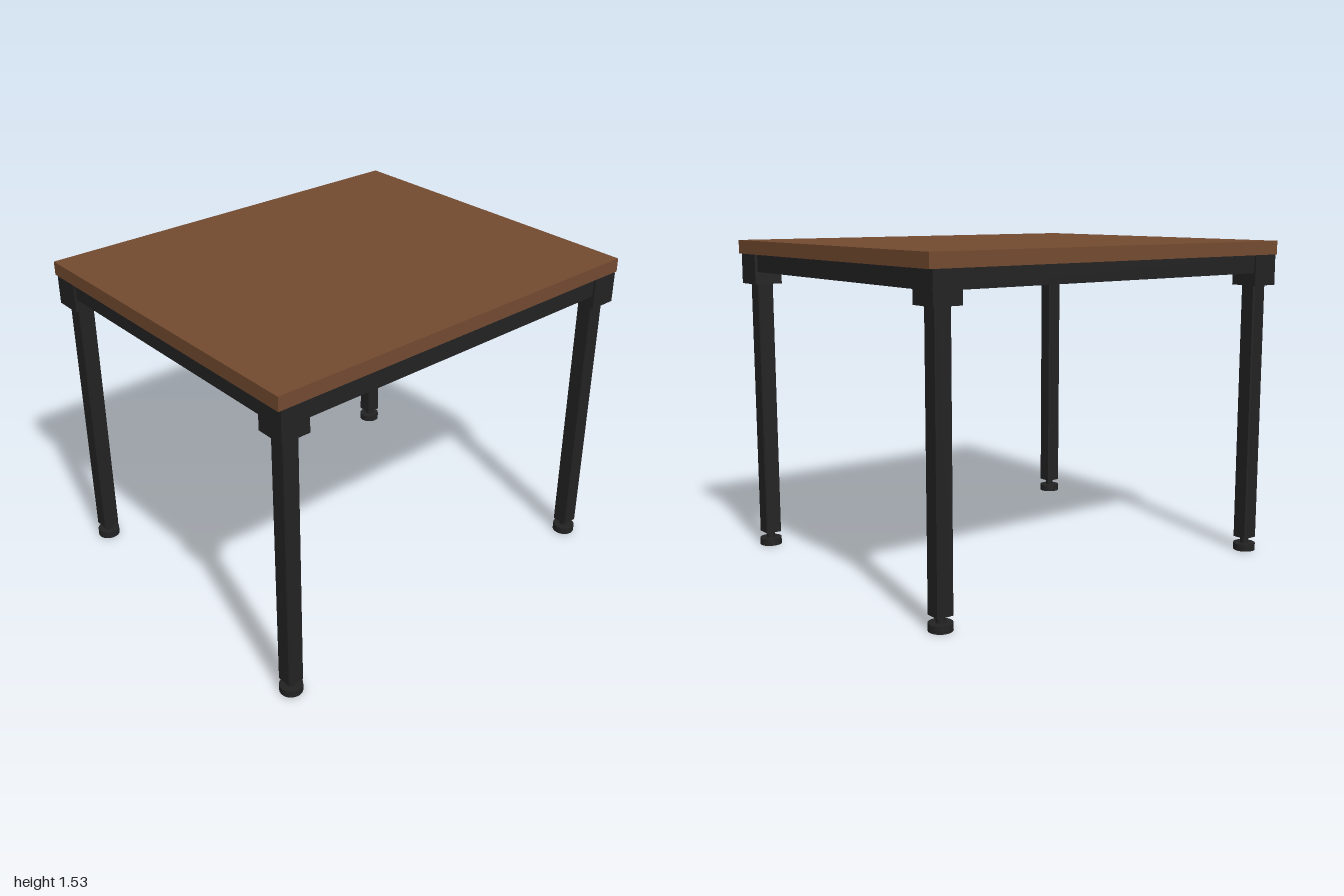
import * as THREE from 'three';

export function createModel() {
  const group = new THREE.Group();
  group.name = 'table';
  const wood = new THREE.MeshStandardMaterial({ color: 0x734a30 });
  const metal = new THREE.MeshStandardMaterial({ color: 0x222222 });

  function add(parent, name, geometry, material, x, y, z) {
    const mesh = new THREE.Mesh(geometry, material);
    mesh.name = name;
    mesh.position.set(x, y, z);
    parent.add(mesh);
    return mesh;
  }

  // Table top and the solid frame below it
  add(group, 'tableTop', new THREE.BoxGeometry(1.668, 0.065, 2), wood, -0.003, 1.4975, 0);
  add(group, 'underFrame', new THREE.BoxGeometry(1.65, 0.085, 1.95), metal, -0.002, 1.4225, 0.004);

  // Square leg tube with slightly bevelled edges
  const h = 0.0395, c = 0.005;
  const section = new THREE.Shape([
    [h, -h + c], [h, h - c], [h - c, h], [-h + c, h],
    [-h, h - c], [-h, -h + c], [-h + c, -h], [h - c, -h],
  ].map(([x, y]) => new THREE.Vector2(x, y)));
  const legGeometry = new THREE.ExtrudeGeometry(section, { depth: 1.265, bevelEnabled: false });
  legGeometry.rotateX(-Math.PI / 2);

  const bracketGeometry = new THREE.BoxGeometry(0.142, 0.145, 0.139);
  const stemGeometry = new THREE.CylinderGeometry(0.02, 0.02, 0.04, 24);
  const footGeometry = new THREE.CylinderGeometry(0.053, 0.053, 0.034, 32);

  // One leg assembly at each corner
  for (const sx of [-1, 1]) {
    for (const sz of [-1, 1]) {
      const leg = new THREE.Group();
      leg.name = (sz > 0 ? 'front' : 'back') + (sx > 0 ? 'Left' : 'Right') + 'Leg';
      leg.position.set(sx * 0.764 - 0.002, 0, sz * 0.918 + 0.002);
      add(leg, 'cornerBracket', bracketGeometry, metal, 0.001, 1.3925, 0.001);
      add(leg, 'legTube', legGeometry, metal, 0, 0.065, 0);
      add(leg, 'footStem', stemGeometry, metal, 0, 0.05, 0);
      add(leg, 'footPad', footGeometry, metal, 0, 0.017, 0);
      group.add(leg);
    }
  }
  return group;
}
